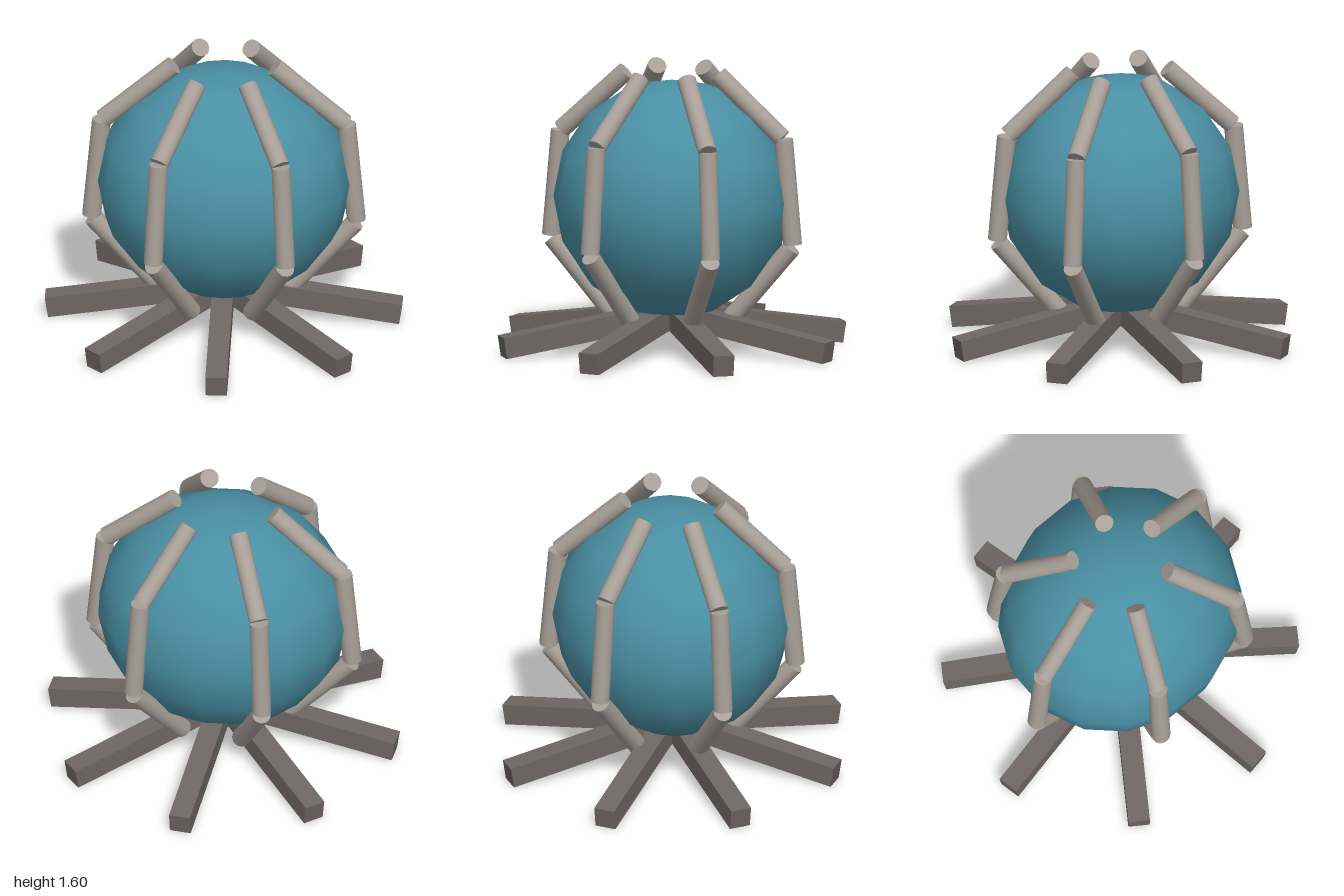
import * as THREE from 'three';

export function createModel() {
  const model = new THREE.Group();
  model.name = 'orbOnClawStand';
  const orbMat = new THREE.MeshStandardMaterial({ color: 0x4a90a4 });
  const clawMat = new THREE.MeshStandardMaterial({ color: 0xa8a098 });
  const footMat = new THREE.MeshStandardMaterial({ color: 0x6e6664 });

  // Faceted-outline orb, slightly flattened front to back
  const orb = new THREE.Mesh(new THREE.SphereGeometry(1, 16, 8), orbMat);
  orb.name = 'orb';
  orb.scale.set(0.715, 0.67, 0.66);
  orb.position.y = 0.857;
  model.add(orb);

  // Eight square feet radiating outward and sloping down to the ground
  const size = 0.12, slope = 0.153, inner = 0.13, outer = 1;
  const length = (outer - inner) / Math.cos(slope);
  const footGeo = new THREE.BoxGeometry(length, size, size);
  footGeo.translate(-length / 2, -size / 2, 0); // origin on the outer top edge
  for (let i = 0; i < 8; i++) {
    const arm = new THREE.Group();
    arm.name = 'foot' + (i + 1);
    arm.rotation.y = (i * Math.PI) / 4;
    const bar = new THREE.Mesh(footGeo, footMat);
    bar.name = 'footBar';
    bar.position.set(outer, size * Math.cos(slope), 0);
    bar.rotation.z = -slope;
    arm.add(bar);
    model.add(arm);
  }

  // Six claws, each of three straight rods: [radius, height] start and end
  const rods = [
    ['lowerRod', [0.34, 0.165], [0.735, 0.605]],
    ['middleRod', [0.74, 0.622], [0.685, 1.218]],
    ['upperRod', [0.677, 1.222], [0.283, 1.565]],
  ];
  const up = new THREE.Vector3(0, 1, 0);
  for (let i = 0; i < 6; i++) {
    const a = (i * Math.PI) / 3;
    const claw = new THREE.Group();
    claw.name = 'claw' + (i + 1);
    const at = ([r, y]) => new THREE.Vector3(r * Math.cos(a), y, r * Math.sin(a) * 0.923);
    for (const [name, start, end] of rods) {
      const p = at(start), q = at(end);
      const rod = new THREE.Mesh(new THREE.CylinderGeometry(0.053, 0.053, p.distanceTo(q), 16), clawMat);
      rod.name = name;
      rod.position.copy(p).lerp(q, 0.5);
      rod.quaternion.setFromUnitVectors(up, q.clone().sub(p).normalize());
      claw.add(rod);
    }
    model.add(claw);
  }
  return model;
}
